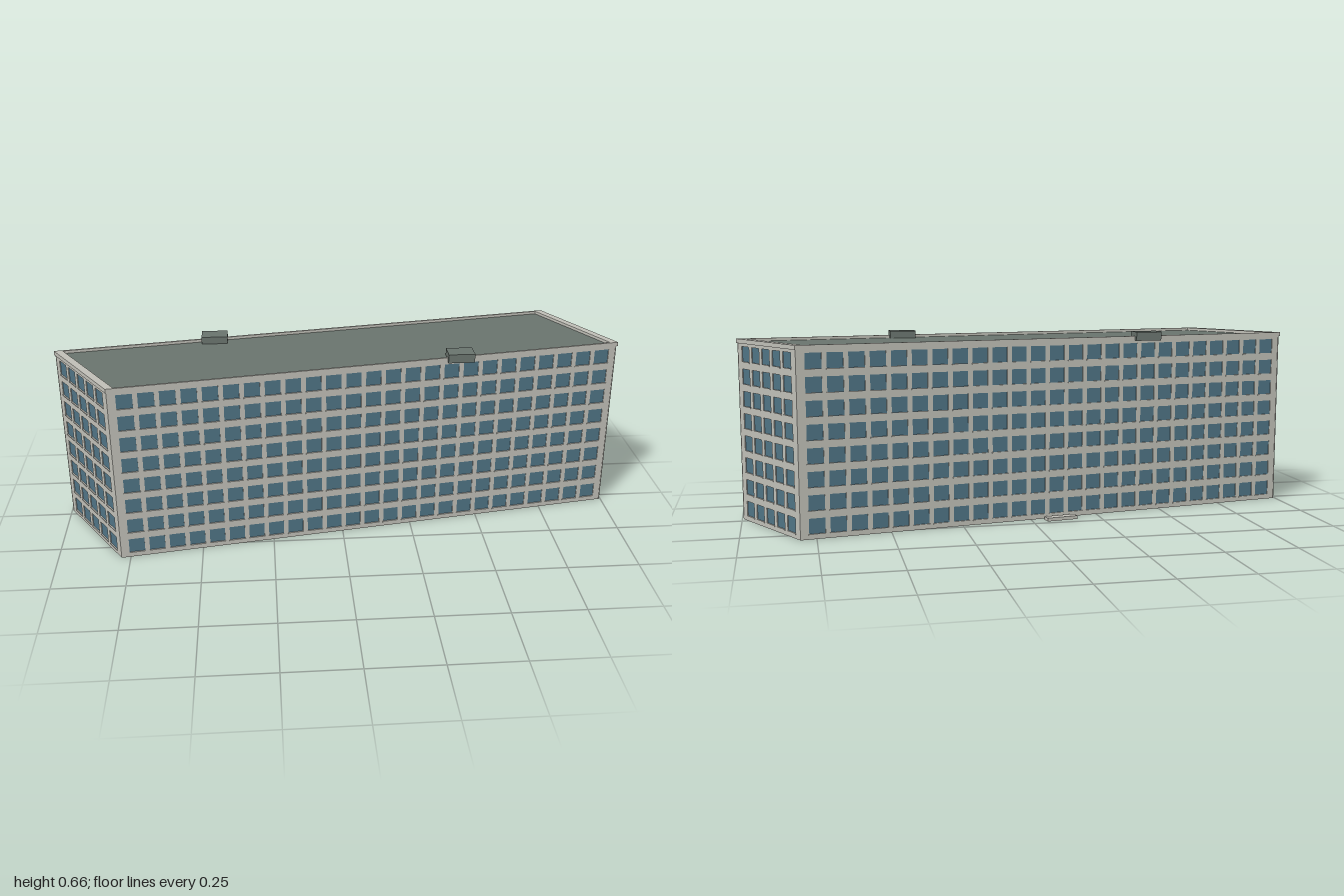
import * as THREE from 'three';

const mat = (name, color) => {
  const m = new THREE.MeshStandardMaterial({ color });
  m.name = name;
  return m;
};

// Roof outline corners [x, z]: front left, front right, back right, back left
const OUTLINE = [[-0.783, 0.325], [1, 0.034], [0.805, -0.325], [-1, -0.03]];
const ROWS = 8, FLOOR = 0.0778, SILL_Y = 0.018, WIN_H = 0.052;
const WALL_TOP = 0.625, ROOF_TOP = 0.64, RECESS = 0.003;

// Moves each edge of the outline outward by its own distance
function offset(points, distances) {
  const lines = points.map((p, i) => {
    const q = points[(i + 1) % points.length];
    const dx = q[0] - p[0], dz = q[1] - p[1], l = Math.hypot(dx, dz);
    const nx = -dz / l, nz = dx / l;
    return [nx, nz, nx * p[0] + nz * p[1] + distances[i]];
  });
  return lines.map((b, i) => {
    const a = lines[(i + lines.length - 1) % lines.length];
    const det = a[0] * b[1] - a[1] * b[0];
    return [(a[2] * b[1] - b[2] * a[1]) / det, (a[0] * b[2] - b[0] * a[2]) / det];
  });
}

const toVectors = pts => pts.map(([x, z]) => new THREE.Vector2(x, -z));

// Upright prism over a plan outline, with an optional opening
function prism(points, y0, y1, hole) {
  const shape = new THREE.Shape(toVectors(points));
  if (hole) shape.holes.push(new THREE.Path(toVectors(hole)));
  const g = new THREE.ExtrudeGeometry(shape, { depth: y1 - y0, bevelEnabled: false });
  return g.rotateX(-Math.PI / 2).translate(0, y0, 0);
}

function addMesh(parent, name, geometry, material) {
  const m = new THREE.Mesh(geometry, material);
  m.name = name;
  parent.add(m);
  return m;
}

function rectangle(Type, x, y, w, h) {
  return new Type([[x, y], [x + w, y], [x + w, y + h], [x, y + h]].map(p => new THREE.Vector2(...p)));
}

// One facade: pierced wall, glass set behind it, and a sill under each window
function facade(p, q, columns, start, width, pitch, mats) {
  const dx = q[0] - p[0], dz = q[1] - p[1], length = Math.hypot(dx, dz);
  const g = new THREE.Group();
  g.position.set(p[0], 0, p[1]);
  g.rotation.y = -Math.atan2(dz, dx);

  const shape = rectangle(THREE.Shape, 0, 0, length, WALL_TOP);
  const w = width * length;
  const sillGeometry = new THREE.BoxGeometry(w + 0.004, 0.004, 0.004);
  const sills = new THREE.InstancedMesh(sillGeometry, mats.wall, columns * ROWS);
  sills.name = 'windowSills';
  const matrix = new THREE.Matrix4();
  for (let r = 0; r < ROWS; r++) {
    for (let c = 0; c < columns; c++) {
      const x = (start + c * pitch) * length, y = SILL_Y + r * FLOOR;
      shape.holes.push(rectangle(THREE.Path, x, y, w, WIN_H));
      sills.setMatrixAt(r * columns + c, matrix.makeTranslation(x + w / 2, y - 0.002, 0));
    }
  }
  const wall = new THREE.ExtrudeGeometry(shape, { depth: RECESS, bevelEnabled: false });
  addMesh(g, 'wall', wall.translate(0, 0, -RECESS), mats.wall);
  const glass = new THREE.PlaneGeometry(length - 0.01, WALL_TOP - 0.01);
  addMesh(g, 'windowGlass', glass.translate(length / 2, WALL_TOP / 2, -RECESS + 0.0003), mats.glass);
  g.add(sills);
  return g;
}

export function createModel() {
  const model = new THREE.Group();
  model.name = 'officeBlock';
  const mats = {
    wall: mat('concrete', 0xbfbeb6),
    glass: mat('glass', 0x4f7384),
    roof: mat('roofing', 0x69736d),
  };

  // Four facades: long sides with 25 columns, short sides with 5
  const corners = offset(OUTLINE, [-0.003, -0.003, -0.003, -0.003]);
  ['frontFacade', 'rightFacade', 'backFacade', 'leftFacade'].forEach((name, i) => {
    const layout = i % 2 ? [5, 0.077, 0.13, 0.179] : [25, 0.016, 0.03, 0.0391];
    const f = facade(corners[i], corners[(i + 1) % 4], ...layout, mats);
    f.name = name;
    model.add(f);
  });

  // Ground slab, parapet and roof deck
  const inner = offset(OUTLINE, [-0.007, -0.026, -0.007, -0.026]);
  addMesh(model, 'groundSlab', prism(offset(corners, [-0.001, -0.001, -0.001, -0.001]), 0, 0.006), mats.wall);
  addMesh(model, 'parapet', prism(OUTLINE, WALL_TOP, ROOF_TOP, inner), mats.wall);
  addMesh(model, 'roofDeck', prism(inner, WALL_TOP - 0.01, 0.63), mats.roof);

  // Rooftop plant boxes over the front and back edges
  for (const [name, x, z] of [['frontRoofBox', 0.415, 0.117], ['backRoofBox', -0.44, -0.117]]) {
    addMesh(model, name, new THREE.BoxGeometry(0.092, 0.031, 0.065), mats.roof).position.set(x, 0.64, z);
  }

  // Entrance step along the back wall
  const step = addMesh(model, 'entranceStep', new THREE.BoxGeometry(0.114, 0.012, 0.03), mats.wall);
  step.position.set(-0.105, 0.006, -0.206);
  const [a, b] = [OUTLINE[3], OUTLINE[2]];
  step.rotation.y = -Math.atan2(b[1] - a[1], b[0] - a[0]);

  return model;
}
